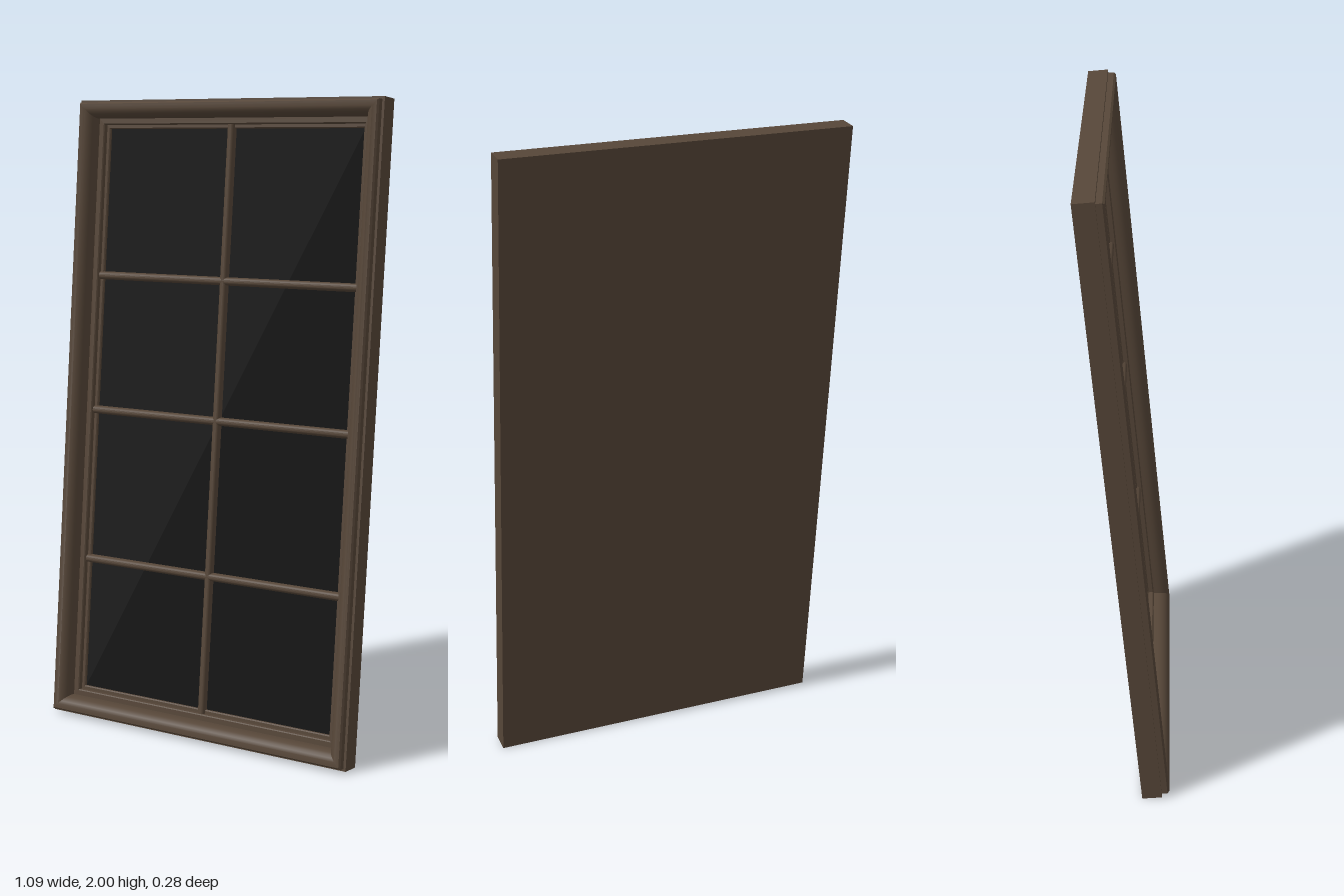
import * as THREE from 'three';
import { toCreasedNormals } from 'three/addons/utils/BufferGeometryUtils.js';

const W = 1.09, H = 2.003, TILT = 0.0958;
const GLASS_Z = 0.006;

// Rectangular moulding: each [inset, z] profile point becomes a ring of four corners
function mitredFrame(profile) {
  const pos = [];
  const corner = ([d, z], k) => {
    const sx = k === 0 || k === 3 ? -1 : 1;
    return [sx * (W / 2 - d), k < 2 ? d : H - d, z];
  };
  for (let i = 0; i < profile.length - 1; i++) {
    for (let k = 0; k < 4; k++) {
      const n = (k + 1) % 4;
      const a = corner(profile[i], k), b = corner(profile[i], n);
      const c = corner(profile[i + 1], n), d = corner(profile[i + 1], k);
      pos.push(...a, ...b, ...c, ...a, ...c, ...d);
    }
  }
  const geo = new THREE.BufferGeometry();
  geo.setAttribute('position', new THREE.Float32BufferAttribute(pos, 3));
  return toCreasedNormals(geo, 0.6);
}

// Half-round glazing bar of a given length, running along y with its round side to +z
function barGeometry(length) {
  const shape = new THREE.Shape();
  const r = 0.013, depth = 0.021;
  shape.moveTo(-r, 0);
  shape.lineTo(r, 0);
  for (let i = 0; i <= 10; i++) {
    const a = (i / 10) * Math.PI;
    shape.lineTo(r * Math.cos(a), 0.006 + (depth - 0.006) * Math.sin(a));
  }
  const geo = new THREE.ExtrudeGeometry(shape, { depth: length, bevelEnabled: false });
  geo.translate(0, 0, -length / 2);
  geo.rotateX(Math.PI / 2);
  return toCreasedNormals(geo, 0.6);
}

export function createModel() {
  const wood = new THREE.MeshStandardMaterial({ color: 0x564638 });
  wood.name = 'dark brown wood';
  const pane = new THREE.MeshStandardMaterial({ color: 0x0c0c0c });
  pane.name = 'black glass';

  const model = new THREE.Group();
  model.name = 'leaningWindow';
  const panel = new THREE.Group();
  panel.name = 'windowPanel';
  model.add(panel);

  const add = (name, geo, mat, x, y, z) => {
    const mesh = new THREE.Mesh(geo, mat);
    mesh.name = name;
    mesh.position.set(x, y, z);
    panel.add(mesh);
    return mesh;
  };

  // Frame: outer slab, raised lip, rounded inner slope, two small steps to the glass
  const profile = [[0, 0], [0, 0.062], [0.008, 0.062], [0.008, 0.08], [0.013, 0.086], [0.02, 0.086]];
  for (let i = 1; i <= 6; i++) {
    const a = (i / 6) * Math.PI / 2;
    profile.push([0.02 + 0.035 * Math.sin(a), 0.046 + 0.04 * Math.cos(a)]);
  }
  profile.push([0.055, 0.033], [0.071, 0.033], [0.074, 0.03], [0.074, 0.016],
    [0.083, 0.016], [0.086, 0.013], [0.086, GLASS_Z]);
  add('frame', mitredFrame(profile), wood, 0, 0, 0);

  // Flat back
  const back = add('backPanel', new THREE.PlaneGeometry(W, H), wood, 0, H / 2, 0);
  back.rotation.y = Math.PI;

  // Glass
  add('glass', new THREE.PlaneGeometry(W - 0.17, H - 0.17), pane, 0, H / 2, GLASS_Z);

  // Glazing bars
  add('verticalBar', barGeometry(H - 0.148), wood, 0, H / 2, GLASS_Z);
  for (const y of [0.513, 1.006, 1.445]) {
    const bar = add('horizontalBar', barGeometry(W - 0.148), wood, 0, y, GLASS_Z);
    bar.rotation.z = Math.PI / 2;
  }

  // Lean the panel backwards
  panel.rotation.x = -TILT;
  panel.position.z = 0.053;
  return model;
}
